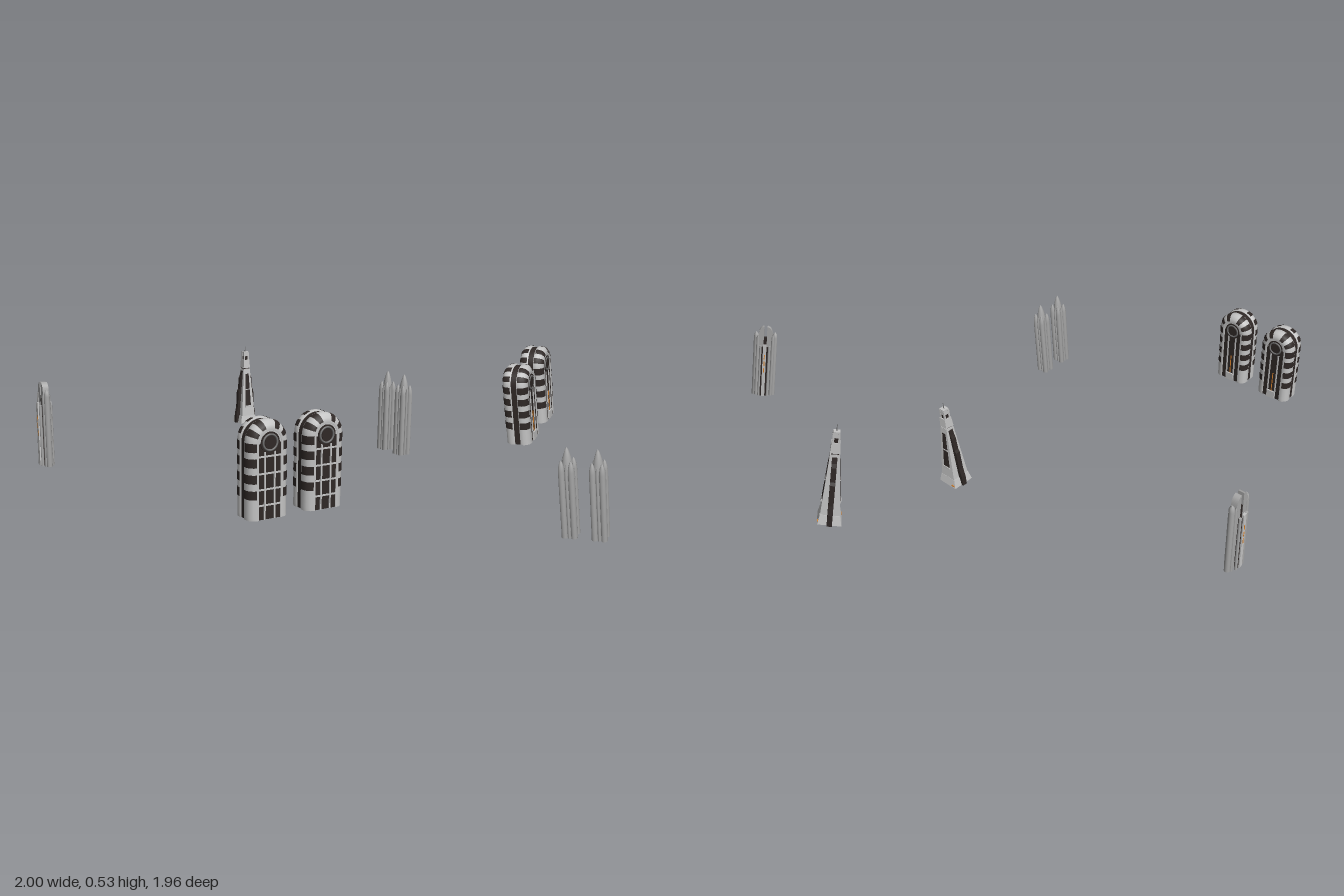
import * as THREE from 'three';

const mat = (name, color, side = THREE.FrontSide) => {
  const m = new THREE.MeshStandardMaterial({ color, side });
  m.name = name;
  return m;
};

export function createModel() {
  const light = mat('lightGrey', 0xc4c4c4, THREE.DoubleSide);
  const grey = mat('stoneGrey', 0xa6a6a6);
  const mid = mat('midGrey', 0x707070);
  const dark = mat('darkGlass', 0x2f2826, THREE.DoubleSide);
  const orange = mat('orangeLight', 0xd9822b);
  const model = new THREE.Group();
  model.name = 'towerSet';

  const add = (parent, name, geo, m, x = 0, y = 0, z = 0) => {
    const mesh = new THREE.Mesh(geo, m);
    mesh.name = name;
    mesh.position.set(x, y, z);
    parent.add(mesh);
    return mesh;
  };
  // box standing on y0
  const box = (p, name, m, w, h, d, x, y0, z) =>
    add(p, name, new THREE.BoxGeometry(w, h, d), m, x, y0 + h / 2, z);
  const group = (parent, name, x = 0, z = 0, ry = 0) => {
    const g = new THREE.Group();
    g.name = name;
    g.position.set(x, 0, z);
    g.rotation.y = ry;
    parent.add(g);
    return g;
  };
  const lathe = (pts, seg = 16) =>
    new THREE.LatheGeometry(pts.map(p => new THREE.Vector2(...p)), seg);
  // square frustum
  const frustum = (p, name, m, b, t, y0, y1, sx = 1) => {
    const geo = new THREE.CylinderGeometry(t * Math.SQRT2, b * Math.SQRT2, y1 - y0, 4, 1).toNonIndexed();
    geo.rotateY(Math.PI / 4);
    geo.scale(sx, 1, 1);
    geo.computeVertexNormals();
    return add(p, name, geo, m, 0, (y0 + y1) / 2, 0);
  };

  // ---- arched slabs ----
  const Y = 0.36, R = 0.105, ARC = Math.PI * R, TOTAL = 2 * Y + ARC;
  const arcAt = a => Y + a * Math.PI / 180 * R;
  // point on the arch at path length s with radius r
  const archPoint = (s, r) => {
    if (s < Y) return [r, s];
    if (s > Y + ARC) return [-r, TOTAL - s];
    const a = (s - Y) / R;
    return [r * Math.cos(a), Y + r * Math.sin(a)];
  };
  // sweep a (radius, z) profile along part of the arch
  const archPatch = (profile, s0, s1, n) => {
    const stops = [];
    for (let i = 0; i <= n; i++) stops.push(s0 + (s1 - s0) * i / n);
    for (const k of [Y, Y + ARC]) if (k > s0 && k < s1) stops.push(k);
    stops.sort((a, b) => a - b);
    const pos = [], idx = [], c = profile.length;
    stops.forEach((s, i) => profile.forEach(([r, z], j) => {
      pos.push(...archPoint(s, r), z);
      if (i && j) {
        const d = i * c + j, a = d - c - 1;
        idx.push(a, a + c, d, a, d, a + 1);
      }
    }));
    const geo = new THREE.BufferGeometry();
    geo.setAttribute('position', new THREE.Float32BufferAttribute(pos, 3));
    geo.setIndex(idx);
    geo.computeVertexNormals();
    return geo;
  };
  const archSolid = (r, half) => {
    const s = new THREE.Shape();
    s.moveTo(-r, 0);
    s.lineTo(r, 0);
    s.lineTo(r, Y);
    s.absarc(0, Y, r, 0, Math.PI, false);
    const geo = new THREE.ExtrudeGeometry(s, { depth: 2 * half, bevelEnabled: false, curveSegments: 20 });
    return geo.translate(0, 0, -half);
  };
  const rim = [[0.096, 0.016], [0.105, 0.018], [0.105, 0.04], [0.098, 0.057], [0.083, 0.07], [0.06, 0.076], [0.058, 0.066]];
  const tile = [[0.1065, 0.022], [0.1065, 0.041], [0.0995, 0.0585], [0.084, 0.0718], [0.07, 0.0752]];
  const tileSpans = [0.1, 0.175, 0.25, 0.322].flatMap(y => [[y, y + 0.042], [TOTAL - y - 0.042, TOTAL - y]]);
  for (const a of [20, 54, 108, 142]) tileSpans.push([arcAt(a), arcAt(a + 18)]);

  const archHalf = (parent, isBack) => {
    const g = group(parent, isBack ? 'backShell' : 'frontShell', 0, 0, isBack ? Math.PI : 0);
    add(g, 'rim', archPatch(rim, 0, TOTAL, 60), light);
    for (const [a, b] of tileSpans) add(g, 'rimWindow', archPatch(tile, a, b, 5), dark);
    // upright ribs and floor bands over the dark glass
    for (const s of [-1, 1]) box(g, 'rib', light, 0.008, 0.32, 0.008, s * 0.026, 0, 0.07);
    if (isBack) {
      box(g, 'lightStrip', orange, 0.004, 0.13, 0.006, 0, 0.05, 0.07);
      box(g, 'entranceBlock', light, 0.055, 0.05, 0.016, 0, 0, 0.07);
    } else {
      for (const y of [0.065, 0.14, 0.215, 0.295])
        box(g, 'floorBand', light, 0.118, 0.008, 0.007, 0, y, 0.07);
    }
    // light infill behind the round window
    add(g, 'windowSurround', new THREE.CircleGeometry(0.06, 28, 0, Math.PI), light, 0, Y, 0.0715);
    const disc = (name, r, d, m) => {
      const geo = new THREE.CylinderGeometry(r, r, d, 24).rotateX(Math.PI / 2);
      add(g, name, geo, m, 0, Y + 0.003, 0.066 + d / 2);
    };
    disc('roundWindowFrame', 0.05, 0.008, dark);
    add(g, 'roundWindowRing', new THREE.TorusGeometry(0.037, 0.005, 8, 28), mid, 0, Y + 0.003, 0.074);
    disc('roundWindowGlass', 0.03, 0.011, dark);
  };
  for (const x of [-0.355, -0.045]) {
    const slab = group(model, 'archedTower', x, 0.9);
    add(slab, 'core', archSolid(0.099, 0.017), dark);
    add(slab, 'glassBody', archSolid(0.06, 0.069), dark);
    archHalf(slab, false);
    archHalf(slab, true);
  }

  // ---- tapered spire ----
  const spire = group(model, 'spireTower', 0.593, -0.92);
  frustum(spire, 'skirt', light, 0.06, 0.05, 0, 0.05, 1.05);
  frustum(spire, 'shaft', light, 0.049, 0.024, 0.05, 0.37);
  // dark side fins
  const finSide = [[0.075, 0], [0.074, 0.06], [0.063, 0.11], [0.058, 0.22], [0.049, 0.235], [0.043, 0.31], [0.034, 0.33], [0.028, 0.36]];
  const finShape = new THREE.Shape([...finSide, ...finSide.map(([x, y]) => [-x, y]).reverse()].map(p => new THREE.Vector2(...p)));
  const fin = new THREE.ExtrudeGeometry(finShape, { depth: 0.026, bevelEnabled: false }).translate(0, 0, -0.013);
  add(spire, 'sideFins', fin, dark);
  // sloping windows on front and back
  const lean = Math.atan(0.025 / 0.32);
  for (const ry of [0, Math.PI]) {
    const face = group(spire, 'spireFace', 0, 0, ry);
    const win = new THREE.CylinderGeometry(0.017, 0.03, 0.22, 4, 1, false);
    win.rotateY(Math.PI / 4).scale(1, 1, 0.12);
    add(face, 'tallWindow', win, dark, 0, 0.23, 0.0352).rotation.x = -lean;
    box(face, 'windowSill', light, 0.05, 0.012, 0.01, 0, 0.11, 0.045);
    box(face, 'crossBar', light, 0.036, 0.006, 0.006, 0, 0.23, 0.036);
    add(face, 'entranceLight', new THREE.BoxGeometry(0.02, 0.008, 0.004), orange, 0.045, 0.012, 0.058);
  }
  box(spire, 'neck', light, 0.046, 0.012, 0.046, 0, 0.362, 0);
  box(spire, 'neckGap', dark, 0.04, 0.008, 0.04, 0, 0.374, 0);
  frustum(spire, 'upperBlock', light, 0.025, 0.021, 0.38, 0.435);
  box(spire, 'lanternGlass', dark, 0.03, 0.03, 0.03, 0, 0.435, 0);
  for (const x of [-1, 1]) for (const z of [-1, 1])
    box(spire, 'lanternPost', light, 0.009, 0.05, 0.009, x * 0.014, 0.435, z * 0.014);
  box(spire, 'lanternCap', light, 0.034, 0.032, 0.034, 0, 0.46, 0);
  add(spire, 'antenna', new THREE.CylinderGeometry(0.0015, 0.003, 0.035, 6), mid, 0, 0.508, 0);

  // ---- clustered needle towers ----
  const needle = lathe([[0, 0], [0.029, 0], [0.029, 0.35], [0.026, 0.39], [0.019, 0.43], [0.009, 0.465], [0, 0.48]], 20);
  const pier = lathe([[0, 0], [0.016, 0], [0.016, 0.36], [0.013, 0.385], [0.007, 0.407], [0, 0.418]], 12);
  const rib = lathe([[0, 0], [0.008, 0], [0.008, 0.37], [0, 0.4]], 8);
  for (const z of [0.17, 0.32]) {
    const tower = group(model, 'needleTower', 0.958, z);
    add(tower, 'needle', needle, grey);
    for (let i = 0; i < 4; i++) {
      const a = Math.PI / 2 * i, b = a + Math.PI / 4;
      add(tower, 'pier', pier, grey, 0.034 * Math.cos(b), 0, 0.034 * Math.sin(b));
      add(tower, 'rib', rib, grey, 0.028 * Math.cos(a), 0, 0.028 * Math.sin(a));
    }
  }

  // ---- split tower ----
  const split = group(model, 'splitTower', -0.962, -0.47);
  box(split, 'core', dark, 0.03, 0.4, 0.09, 0, 0, 0);
  box(split, 'wingCore', dark, 0.066, 0.34, 0.05, 0, 0, 0);
  // plate with one rounded outer corner, seen from the side
  const lobe = new THREE.Shape();
  lobe.moveTo(0.01, 0);
  lobe.lineTo(0.046, 0);
  lobe.lineTo(0.046, 0.42);
  lobe.quadraticCurveTo(0.042, 0.472, 0.01, 0.475);
  const lobeGeo = new THREE.ExtrudeGeometry(lobe, { depth: 0.034, bevelEnabled: false }).translate(0, 0, -0.017);
  const buttress = lathe([[0, 0], [0.016, 0], [0.016, 0.4], [0.012, 0.425], [0, 0.44]], 14);
  for (const s of [-1, 1]) {
    add(split, 'lobe', lobeGeo, grey).rotation.y = s * Math.PI / 2;
    add(split, 'endPier', buttress, grey, 0, 0, s * 0.06);
    box(split, 'wingFin', light, 0.012, 0.36, 0.022, s * 0.034, 0, 0);
    for (const y of [0.17, 0.215, 0.26]) box(split, 'wingLight', orange, 0.004, 0.03, 0.006, s * 0.0395, y, 0);
    for (const t of [-1, 1]) {
      add(split, 'wingPier', new THREE.CylinderGeometry(0.008, 0.008, 0.35, 10), grey, s * 0.03, 0.175, t * 0.028);
      add(split, 'cornerPier', lathe([[0, 0], [0.01, 0], [0.01, 0.4], [0, 0.425]], 10), grey, s * 0.014, 0, t * 0.048);
    }
  }
  return model;
}
